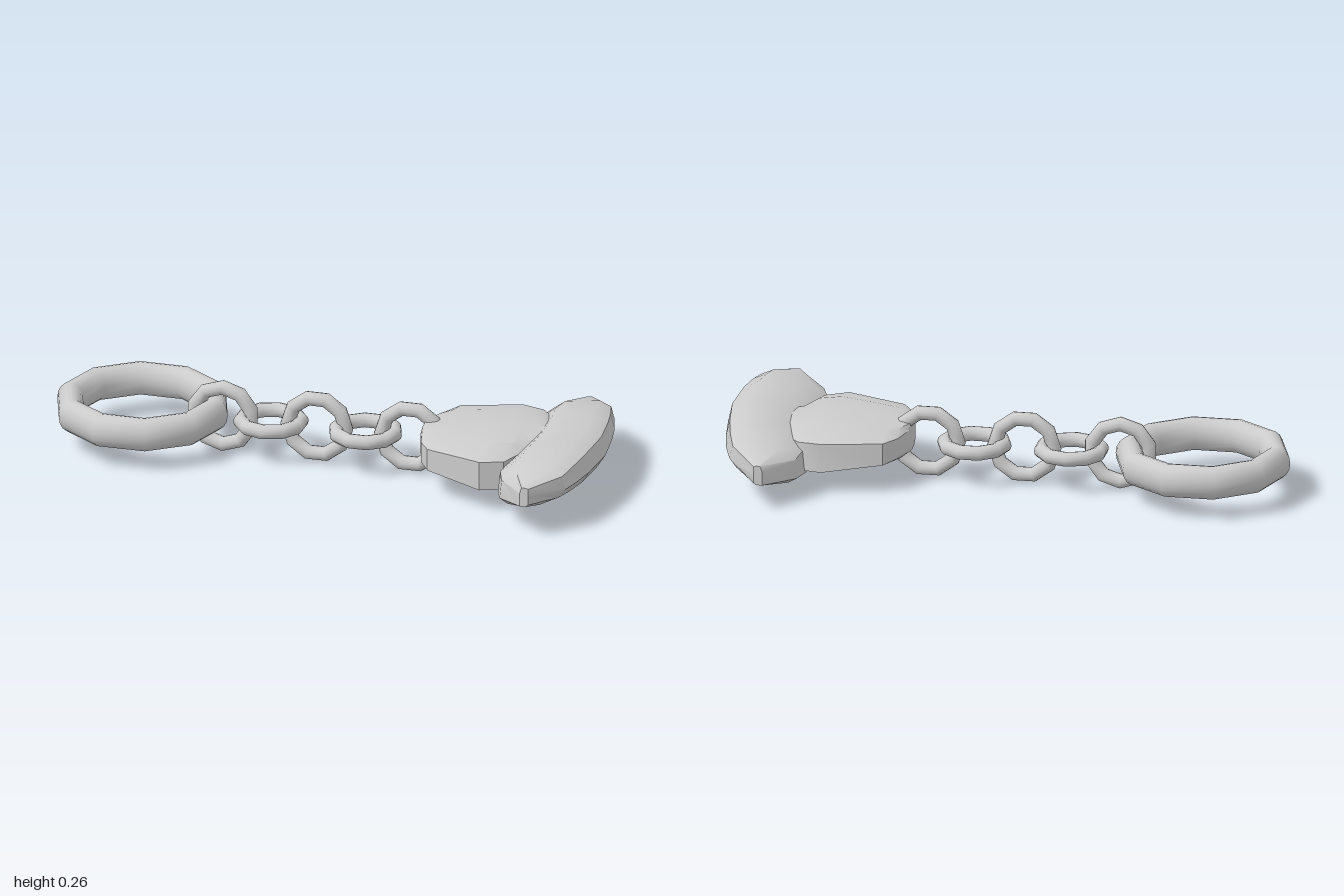
import * as THREE from 'three';
import { toCreasedNormals } from 'three/addons/utils/BufferGeometryUtils.js';

const material = new THREE.MeshStandardMaterial({ color: 0xcccccc });

// Closed solid through equal-length rings of [x, y, z] points, capped at both ends
function loft(rings, crease) {
  const n = rings[0].length;
  const pos = rings.flat(2);
  const index = [];
  for (let i = 0; i < rings.length - 1; i++) {
    for (let j = 0; j < n; j++) {
      const a = i * n + j, b = i * n + (j + 1) % n;
      index.push(a, b, b + n, a, b + n, a + n);
    }
  }
  const last = (rings.length - 1) * n;
  for (let j = 1; j < n - 1; j++) {
    index.push(0, j + 1, j, last, last + j, last + j + 1);
  }
  const geometry = new THREE.BufferGeometry();
  geometry.setAttribute('position', new THREE.Float32BufferAttribute(pos, 3));
  geometry.setIndex(index);
  return toCreasedNormals(geometry, crease);
}

export function createModel() {
  const group = new THREE.Group();
  const add = (name, geometry) => {
    const mesh = new THREE.Mesh(geometry, material);
    mesh.name = name;
    group.add(mesh);
    return mesh;
  };

  // Large ten-sided key ring, slightly taller than it is wide in section
  const ring = add('keyRing', new THREE.TorusGeometry(0.262, 0.048, 16, 10));
  ring.rotation.x = Math.PI / 2;
  ring.scale.z = 1.25;
  ring.position.set(-0.69, 0.14, -0.02);

  // Chain links alternating upright and flat: x, flat, turn in its own plane
  const links = [
    [-0.397, false, Math.PI / 10],
    [-0.222, true, Math.PI / 10],
    [-0.055, false, 0],
    [0.122, true, 0],
    [0.285, false, 0],
  ];
  links.forEach(([x, flat, turn], i) => {
    const geometry = new THREE.TorusGeometry(0.106, 0.026, 12, 10);
    geometry.rotateZ(turn);
    if (flat) geometry.rotateX(Math.PI / 2);
    add(`chainLink${i + 1}`, geometry).position.set(x, 0.14, -0.017);
  });

  // Pendant body: x, zBack, zFront, yBottom, yTop of each cross-section
  const body = [
    [0.345, -0.06, 0.06, 0.1, 0.21],
    [0.37, -0.155, 0.14, 0.09, 0.213],
    [0.41, -0.225, 0.2, 0.085, 0.217],
    [0.62, -0.28, 0.275, 0.055, 0.23],
    [0.7, -0.262, 0.24, 0.055, 0.226],
    [0.74, -0.22, 0.12, 0.06, 0.222],
    [0.82, -0.1, 0.08, 0.07, 0.21],
  ];
  add('pendantBody', loft(body.map(([x, z0, z1, y0, y1]) => {
    const zm = (z0 + z1) / 2, hz = (z1 - z0) / 2;
    const ym = (y0 + y1) / 2, hy = (y1 - y0) / 2;
    return [[1, -0.6], [1, 0.6], [0.55, 0.92], [0, 1], [-0.55, 0.92],
      [-1, 0.6], [-1, -0.6], [-0.55, -0.92], [0, -1], [0.55, -0.92]]
      .map(([u, v]) => [x, ym + v * hy, zm + u * hz]);
  }).reverse(), 0.6));

  // Broad crossbar, tapering to an upright edge at each end:
  // z, xInner, xOuter, yBottom, yTop
  const bar = [
    [-0.475, 0.79, 0.82, 0.1, 0.17],
    [-0.35, 0.69, 0.93, 0.072, 0.212],
    [-0.25, 0.675, 0.96, 0.058, 0.23],
    [-0.15, 0.69, 0.98, 0.05, 0.243],
    [0, 0.7, 1, 0.046, 0.25],
    [0.17, 0.695, 0.992, 0.053, 0.25],
    [0.28, 0.69, 0.978, 0.07, 0.242],
    [0.36, 0.72, 0.96, 0.088, 0.23],
    [0.47, 0.825, 0.855, 0.13, 0.2],
  ];
  // Section profile in fractions of width and height, leaning up outwards
  const profile = [[0, 0.12], [0.12, 0], [0.6, 0.06], [0.9, 0.32], [1, 0.55],
    [0.95, 0.88], [0.78, 1], [0.25, 0.88], [0.03, 0.6]];
  const end = [[0, 0], [0.25, 0], [0.75, 0], [1, 0.1], [1, 0.55],
    [1, 0.95], [0.75, 1], [0.25, 1], [0, 0.7]];
  add('crossbar', loft(bar.map(([z, x0, x1, y0, y1], i) =>
    (i === 0 || i === bar.length - 1 ? end : profile)
      .map(([u, v]) => [x0 + u * (x1 - x0), y0 + v * (y1 - y0), z])), 0.75));

  return group;
}
